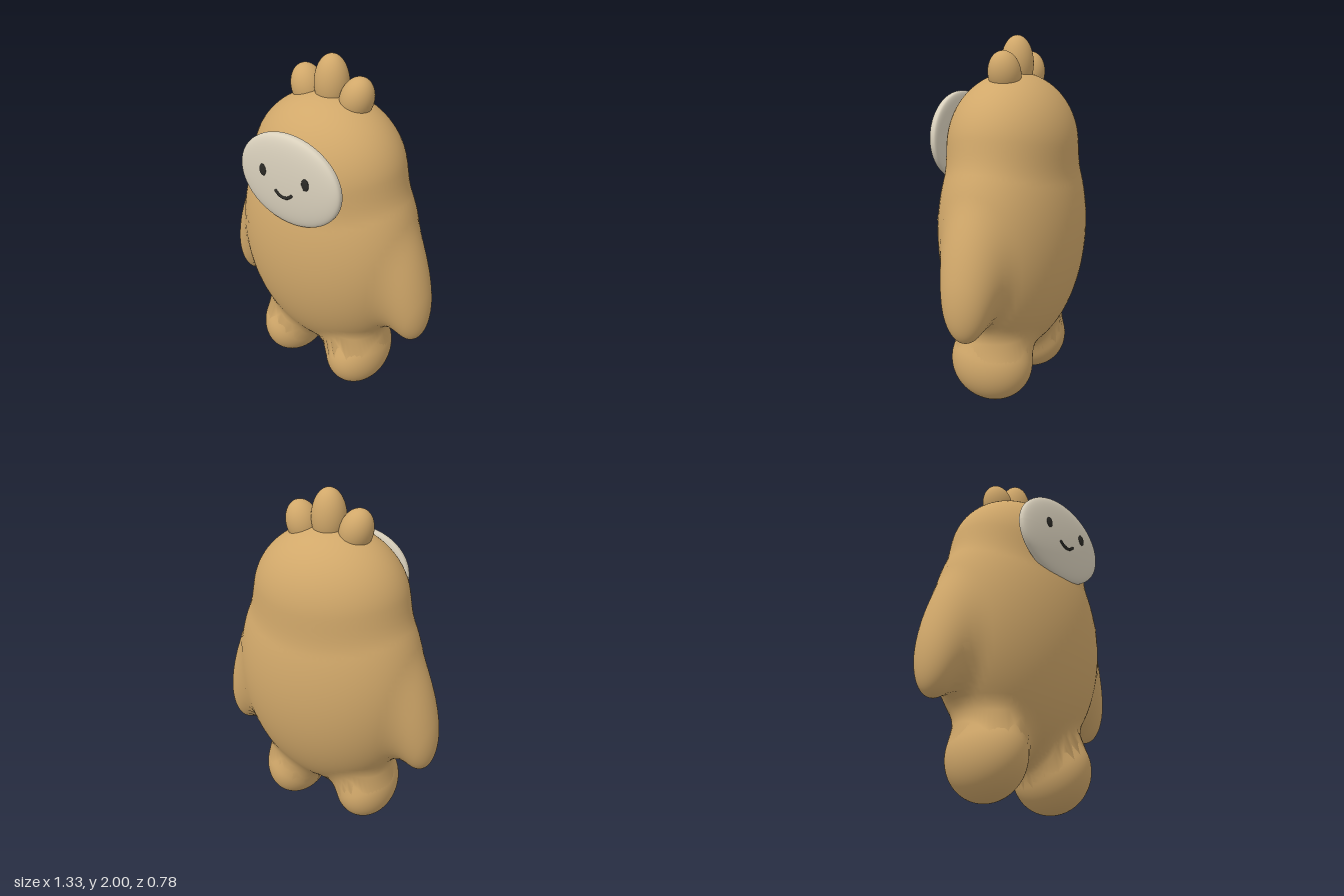
import * as THREE from 'three';

const fur = new THREE.MeshStandardMaterial({ color: 0xd1a86a });
fur.name = 'tan fur';
const cream = new THREE.MeshStandardMaterial({ color: 0xd9d0bc });
cream.name = 'cream face';
const dark = new THREE.MeshStandardMaterial({ color: 0x2b2a26 });
dark.name = 'dark features';

// Ellipsoids that melt together: centre, radii, tilt about z, blend width
const blob = (name, c, r, tilt, k) => ({
  name, k,
  c: new THREE.Vector3(...c),
  r: new THREE.Vector3(...r),
  cos: Math.cos(tilt), sin: Math.sin(tilt),
});
const blobs = [
  blob('torso', [0, 0.95, -0.01], [0.55, 0.72, 0.38], 0, 0.05),
  blob('head', [0, 1.41, -0.005], [0.44, 0.4, 0.342], 0, 0.05),
];
for (const [side, s] of [['left', 1], ['right', -1]]) {
  blobs.push(blob(side + 'Arm', [s * 0.52, 0.775, -0.01], [0.132, 0.32, 0.15], s * 0.2, 0.11));
  blobs.push(blob(side + 'Leg', [s * 0.24, 0.225, 0.015], [0.182, 0.225, 0.238], 0, 0.11));
}

// Approximate distance to one ellipsoid
function distance(b, x, y, z) {
  const dx = x - b.c.x, dy = y - b.c.y, dz = z - b.c.z;
  const lx = (dx * b.cos + dy * b.sin) / b.r.x;
  const ly = (dy * b.cos - dx * b.sin) / b.r.y;
  const lz = dz / b.r.z;
  const k0 = Math.hypot(lx, ly, lz);
  const k1 = Math.hypot(lx / b.r.x, ly / b.r.y, lz / b.r.z);
  return k1 < 1e-6 ? -1 : k0 * (k0 - 1) / k1;
}

// Smooth union of all ellipsoids
function field(x, y, z) {
  let d = distance(blobs[0], x, y, z);
  for (let i = 1; i < blobs.length; i++) {
    const e = distance(blobs[i], x, y, z), k = blobs[i].k;
    const h = Math.max(k - Math.abs(d - e), 0) / k;
    d = Math.min(d, e) - h * h * k / 4;
  }
  return d;
}

// Sphere whose vertices are pushed outward onto the blended surface
function blendedGeometry(b) {
  const geo = new THREE.SphereGeometry(1, 80, 60);
  const pos = geo.attributes.position, nor = geo.attributes.normal;
  const v = new THREE.Vector3(), p = new THREE.Vector3(), n = new THREE.Vector3();
  const at = (t) => p.copy(b.c).addScaledVector(v, t);
  const outside = (t) => { at(t); return field(p.x, p.y, p.z) > 0; };
  for (let i = 0; i < pos.count; i++) {
    v.fromBufferAttribute(pos, i).multiply(b.r);
    v.set(v.x * b.cos - v.y * b.sin, v.x * b.sin + v.y * b.cos, v.z);
    let hi = 1;
    while (hi < 1.5 && !outside(hi)) hi += 0.02;
    if (hi < 1.5) {
      let lo = hi - 0.02;
      for (let j = 0; j < 12; j++) {
        const mid = (lo + hi) / 2;
        if (outside(mid)) hi = mid; else lo = mid;
      }
    }
    at(hi);
    const e = 0.004;
    n.set(
      field(p.x + e, p.y, p.z) - field(p.x - e, p.y, p.z),
      field(p.x, p.y + e, p.z) - field(p.x, p.y - e, p.z),
      field(p.x, p.y, p.z + e) - field(p.x, p.y, p.z - e)).normalize();
    pos.setXYZ(i, p.x, p.y, p.z);
    nor.setXYZ(i, n.x, n.y, n.z);
  }
  return geo;
}

export function createModel() {
  const model = new THREE.Group();
  const add = (name, geo, mat) => {
    const mesh = new THREE.Mesh(geo, mat);
    mesh.name = name;
    model.add(mesh);
    return mesh;
  };
  const ellipsoid = (name, c, r, mat, tilt = 0) => {
    const mesh = add(name, new THREE.SphereGeometry(1, 40, 28), mat);
    mesh.scale.set(...r);
    mesh.position.set(...c);
    mesh.rotation.z = tilt;
  };

  // Body, head and limbs
  for (const b of blobs) add(b.name, blendedGeometry(b), fur);

  // Three tufts on the crown
  ellipsoid('centreTuft', [0, 1.85, -0.025], [0.092, 0.15, 0.088], fur);
  for (const [side, s] of [['left', 1], ['right', -1]]) {
    ellipsoid(side + 'Tuft', [s * 0.152, 1.8, -0.025], [0.087, 0.12, 0.088], fur, -s * 0.3);
  }

  // Face: a rounded oval disc, flatter at the back
  const face = new THREE.SphereGeometry(1, 72, 48).rotateX(Math.PI / 2);
  const pos = face.attributes.position;
  for (let i = 0; i < pos.count; i++) {
    const z = pos.getZ(i);
    const depth = z > 0 ? 0.055 * z ** 0.7 : -0.036 * Math.abs(z) ** 0.5;
    pos.setXYZ(i, pos.getX(i) * 0.312, 1.452 + pos.getY(i) * 0.25, 0.328 + depth);
  }
  face.computeVertexNormals();
  add('face', face, cream);

  // Eyes and smile
  for (const [side, s] of [['left', 1], ['right', -1]]) {
    ellipsoid(side + 'Eye', [s * 0.133, 1.492, 0.378], [0.022, 0.033, 0.008], dark);
  }
  const smile = new THREE.CatmullRomCurve3(
    [[-0.048, 1.402], [-0.027, 1.385], [0, 1.378], [0.027, 1.385], [0.048, 1.402]]
      .map(([x, y]) => new THREE.Vector3(x, y, 0.383)));
  add('smile', new THREE.TubeGeometry(smile, 24, 0.008, 10), dark);
  for (const s of [-1, 1]) ellipsoid('smileEnd', [s * 0.048, 1.402, 0.383], [0.008, 0.008, 0.008], dark);

  return model;
}
